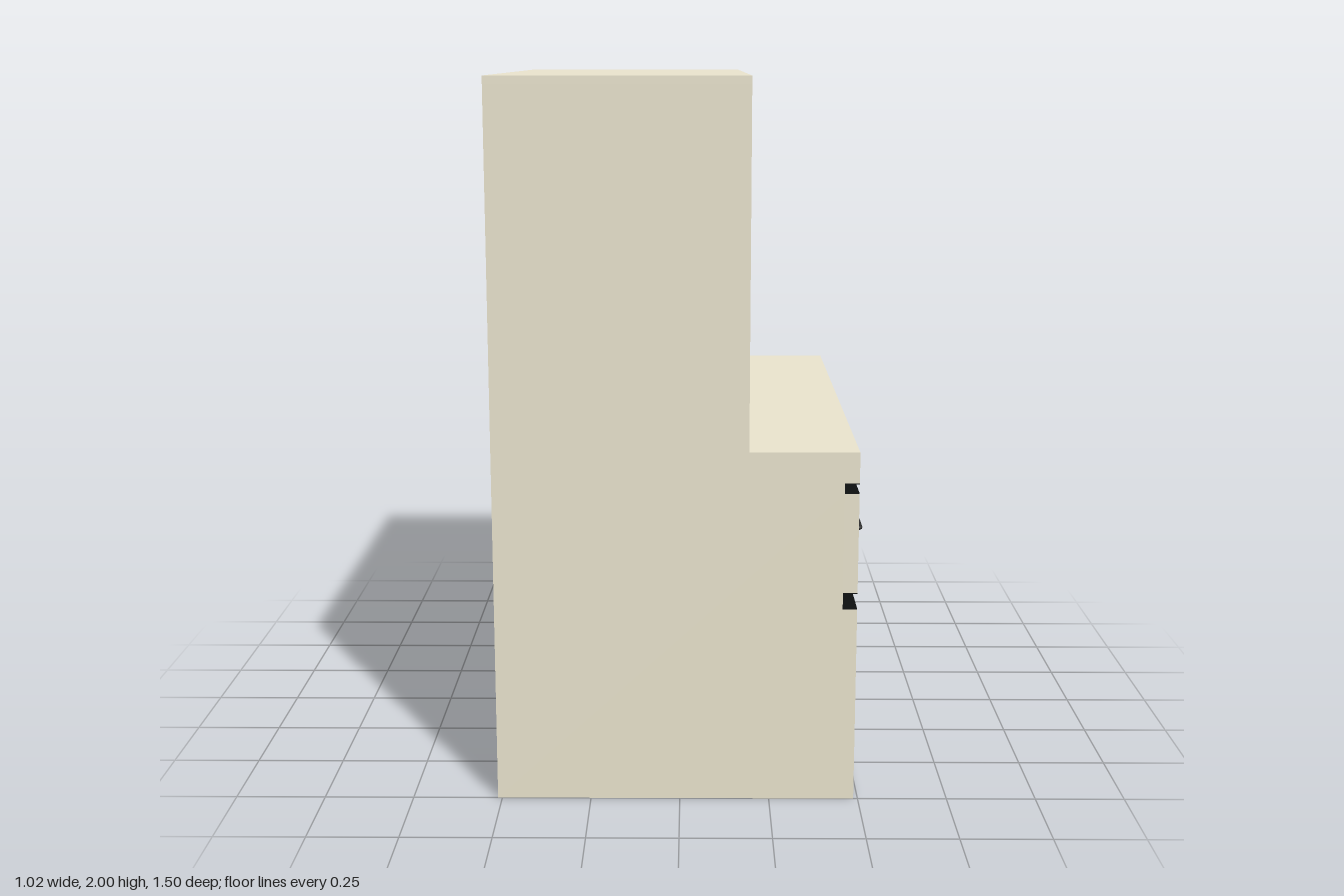
import * as THREE from 'three';

const paint = (color) => new THREE.MeshStandardMaterial({ color });
const wood = paint(0xe8e2cc);
const black = paint(0x0c0e0e);
const iron = paint(0x2e2e2e);
const grey = new THREE.MeshStandardMaterial({ color: 0xcccccc });
const steel = paint(0xbfc4d0);

export function createModel() {
  const group = new THREE.Group();
  const add = (name, geometry, material) => {
    const mesh = new THREE.Mesh(geometry, material);
    mesh.name = name;
    group.add(mesh);
    return mesh;
  };
  // box given by its limits on each axis
  const box = (name, [x0, x1], [y0, y1], [z0, z1], material = wood) => {
    const mesh = add(name, new THREE.BoxGeometry(x1 - x0, y1 - y0, z1 - z0), material);
    mesh.position.set((x0 + x1) / 2, (y0 + y1) / 2, (z0 + z1) / 2);
    return mesh;
  };

  const back = -0.515, front = 0.485, upperFront = 0.185, half = 0.75;
  const grooveX = 0.445;
  const grooves = [[0.557, 0.604], [0.885, 0.914]];

  // lower cabinet: side profile with two finger grooves, extruded along its width
  const profile = new THREE.Shape();
  profile.moveTo(back, 0);
  profile.lineTo(front, 0);
  for (const [y0, y1] of grooves) {
    profile.lineTo(front, y0);
    profile.lineTo(grooveX, y0);
    profile.lineTo(grooveX, y1);
    profile.lineTo(front, y1);
  }
  profile.lineTo(front, 1);
  profile.lineTo(back, 1);
  profile.closePath();
  const base = new THREE.ExtrudeGeometry(profile, { depth: 2 * half, bevelEnabled: false });
  base.translate(0, 0, -half);
  add('lowerCabinet', base, wood);

  // black lining of the grooves
  for (const [y0, y1] of grooves) {
    box('grooveBack', [grooveX, grooveX + 0.002], [y0, y1], [-half, half], black);
    box('grooveFloor', [grooveX, front], [y0, y0 + 0.002], [-half, half], black);
    box('grooveCeiling', [grooveX, front], [y1 - 0.002, y1], [-half, half], black);
  }

  // bent rod drawer handles
  for (const z of [-0.57, -0.18, 0.18, 0.57]) {
    const path = new THREE.CurvePath();
    const v = (x, dz) => new THREE.Vector3(x, 0.752, z + dz);
    const w = 0.047, out = 0.503, r = 0.01;
    path.add(new THREE.LineCurve3(v(front - 0.005, -w), v(out - r, -w)));
    path.add(new THREE.QuadraticBezierCurve3(v(out - r, -w), v(out, -w), v(out, -w + r)));
    path.add(new THREE.LineCurve3(v(out, -w + r), v(out, w - r)));
    path.add(new THREE.QuadraticBezierCurve3(v(out, w - r), v(out, w), v(out - r, w)));
    path.add(new THREE.LineCurve3(v(out - r, w), v(front - 0.005, w)));
    add('drawerHandle', new THREE.TubeGeometry(path, 48, 0.006, 10), iron);
  }

  // upper cabinet shell
  const full = [back, upperFront];
  box('upperTop', full, [1.98, 2], [-half, half]);
  box('upperBottom', full, [1, 1.02], [-half, half]);
  box('upperBack', [back, back + 0.02], [1.02, 1.98], [-half, half]);
  for (const s of [-1, 1]) {
    const span = (a, b) => (s > 0 ? [a, b] : [-b, -a]);
    box('upperSide', full, [1.02, 1.98], span(0.72, half));
    box('innerSide', [back + 0.02, 0.145], [1.02, 1.98], span(0.705, 0.72));
    box('divider', [back + 0.02, 0.145], [1.02, 1.98], span(0.235, 0.26));
  }

  // shelf unit set back behind the sliding door
  const inner = [back + 0.02, 0.145];
  box('shelfUnitTop', inner, [1.972, 1.98], [-0.705, 0.705]);
  box('shelfUnitBottom', inner, [1.02, 1.032], [-0.705, 0.705]);
  const columns = [
    { z: [-0.705, -0.26], shelves: [1.74, 1.502] },
    { z: [-0.235, 0.235], shelves: [1.74, 1.502, 1.265] },
    { z: [0.26, 0.705], shelves: [1.502] },
  ];
  for (const { z, shelves } of columns)
    for (const y of shelves) box('shelf', inner, [y - 0.01, y + 0.01], z);

  // sliding door with mirror panel
  box('slidingDoor', [0.147, 0.165], [1.02, 1.98], [-0.11, 0.585]);
  box('mirror', [0.164, 0.167], [1.08, 1.925], [-0.067, 0.54], grey);

  // tapered steel hood in the left compartment
  const hood = new THREE.CylinderGeometry(0.12 * Math.SQRT2, 0.155 * Math.SQRT2, 0.16, 4).toNonIndexed();
  hood.rotateY(Math.PI / 4);
  hood.scale(0.35, 1, 1);
  hood.computeVertexNormals();
  add('hood', hood, steel).position.set(0.08, 1.63, 0.48);
  box('hoodStem', [0.05, 0.1], [1.512, 1.56], [0.44, 0.52], steel);

  // centre the depth including the handles
  group.position.x = 0.003;
  return group;
}
